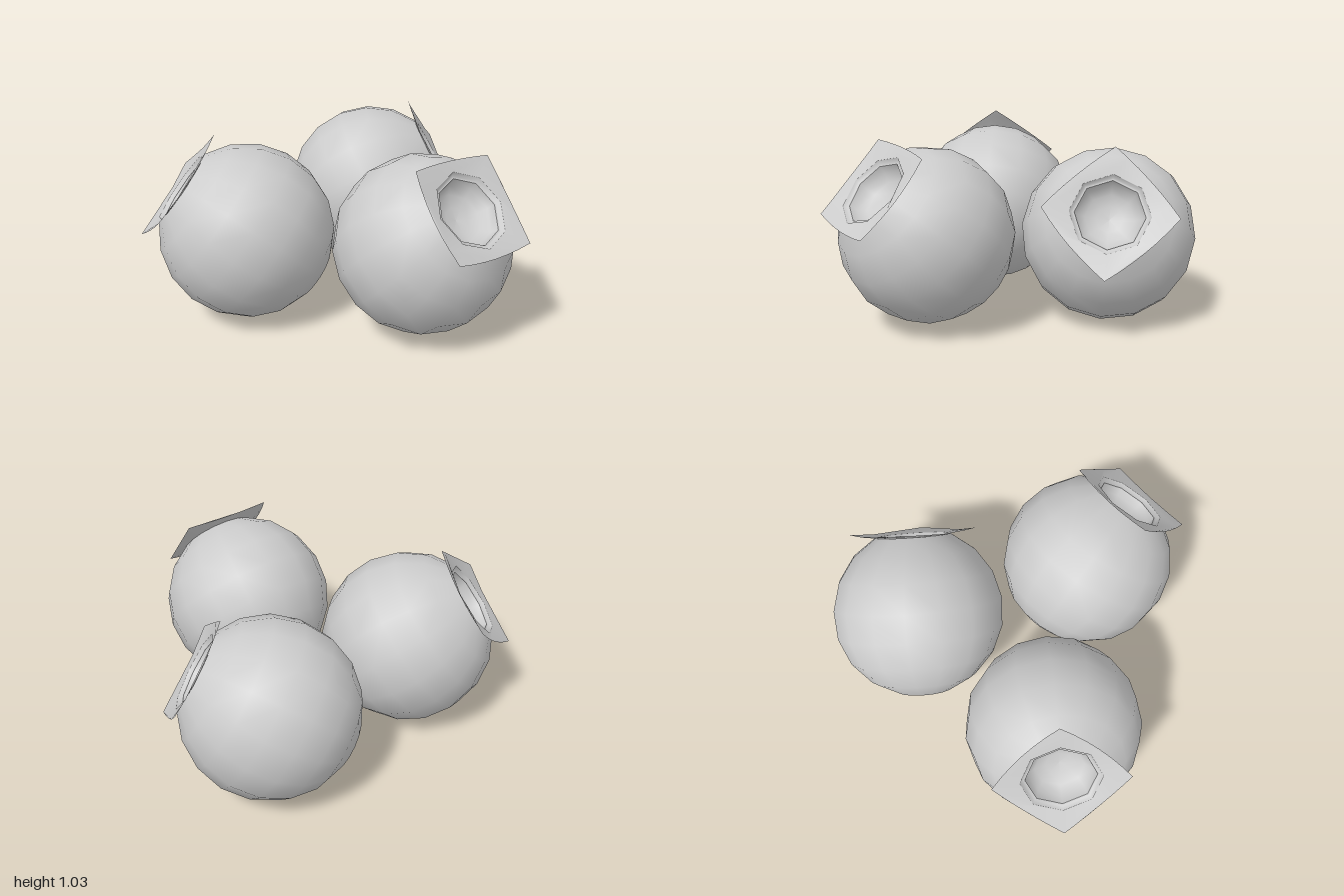
import * as THREE from 'three';

const R = 0.474;        // berry radius
const RIM = 0.21;       // opening radius
const RIM_H = 0.425;    // height of the opening above the berry centre
const SIDES = 8;        // sides of the opening

const material = new THREE.MeshStandardMaterial({ color: 0xcccccc, side: THREE.DoubleSide });

function named(geometry, name) {
  const mesh = new THREE.Mesh(geometry, material);
  mesh.name = name;
  return mesh;
}

// Coarse smooth ball, cut open at the top
function skinGeometry() {
  const pts = [];
  const bands = 8, end = Math.PI - Math.asin(RIM / R);
  for (let i = 0; i <= bands; i++) {
    const a = (end * i) / bands;
    pts.push(new THREE.Vector2(R * Math.sin(a), -R * Math.cos(a)));
  }
  return new THREE.LatheGeometry(pts, 16);
}

// Thin four-pointed collar with an octagonal hole, tips lifted slightly
function crownGeometry() {
  const tip = 0.352, bulge = 0.285;
  const shape = new THREE.Shape();
  shape.moveTo(tip, 0);
  for (let i = 1; i <= 4; i++) {
    const a = (i * Math.PI) / 2, m = a - Math.PI / 4;
    shape.quadraticCurveTo(bulge * Math.cos(m), bulge * Math.sin(m), tip * Math.cos(a), tip * Math.sin(a));
  }
  const hole = [];
  for (let i = 0; i < SIDES; i++) {
    const a = (-i * 2 * Math.PI) / SIDES;
    hole.push(new THREE.Vector2(RIM * Math.cos(a), RIM * Math.sin(a)));
  }
  shape.holes.push(new THREE.Path(hole));
  const g = new THREE.ShapeGeometry(shape, 6);
  g.rotateX(-Math.PI / 2);
  const p = g.attributes.position;
  for (let i = 0; i < p.count; i++) {
    p.setY(i, RIM_H + (Math.hypot(p.getX(i), p.getZ(i)) - RIM) * 0.16);
  }
  g.computeVertexNormals();
  return g;
}

// Narrow bevelled lip inside the collar
function lipGeometry() {
  const pts = [[RIM, RIM_H], [0.197, RIM_H - 0.02], [0.183, RIM_H - 0.02]];
  return new THREE.LatheGeometry(pts.map(([x, y]) => new THREE.Vector2(x, y)).reverse(), SIDES);
}

// Smooth hollow below the lip
function hollowGeometry() {
  const pts = [];
  for (let i = 0; i <= 4; i++) {
    const a = (i / 4) * Math.PI / 2;
    pts.push(new THREE.Vector2(0.183 * Math.cos(a), RIM_H - 0.02 - 0.11 * Math.sin(a)));
  }
  return new THREE.LatheGeometry(pts, SIDES);
}

// Position, crown direction and direction of one crown tip for each berry
const berries = [
  { name: 'frontRightBerry', at: [-0.48, 0.48, 0.50], up: [-0.616, 0.608, 0.502], tip: [0.44, 0, 0.54] },
  { name: 'backRightBerry', at: [-0.36, 0.475, -0.48], up: [0.695, 0.474, -0.543], tip: [-0.41, -0.04, -0.56] },
  { name: 'leftBerry', at: [0.42, 0.505, 0.135], up: [0.73, 0.67, 0.14], tip: [-0.44, 0.40, 0.38] },
];

export function createModel() {
  const model = new THREE.Group();
  model.name = 'berries';
  const parts = {
    skin: skinGeometry(), crown: crownGeometry(), lip: lipGeometry(), hollow: hollowGeometry(),
  };
  for (const { name, at, up, tip } of berries) {
    const berry = new THREE.Group();
    berry.name = name;
    for (const [part, geometry] of Object.entries(parts)) berry.add(named(geometry, part));
    const y = new THREE.Vector3(...up).normalize();
    const z = new THREE.Vector3(...tip).cross(y).normalize();
    const x = new THREE.Vector3().crossVectors(y, z);
    berry.quaternion.setFromRotationMatrix(new THREE.Matrix4().makeBasis(x, y, z));
    berry.position.set(...at);
    model.add(berry);
  }
  return model;
}
